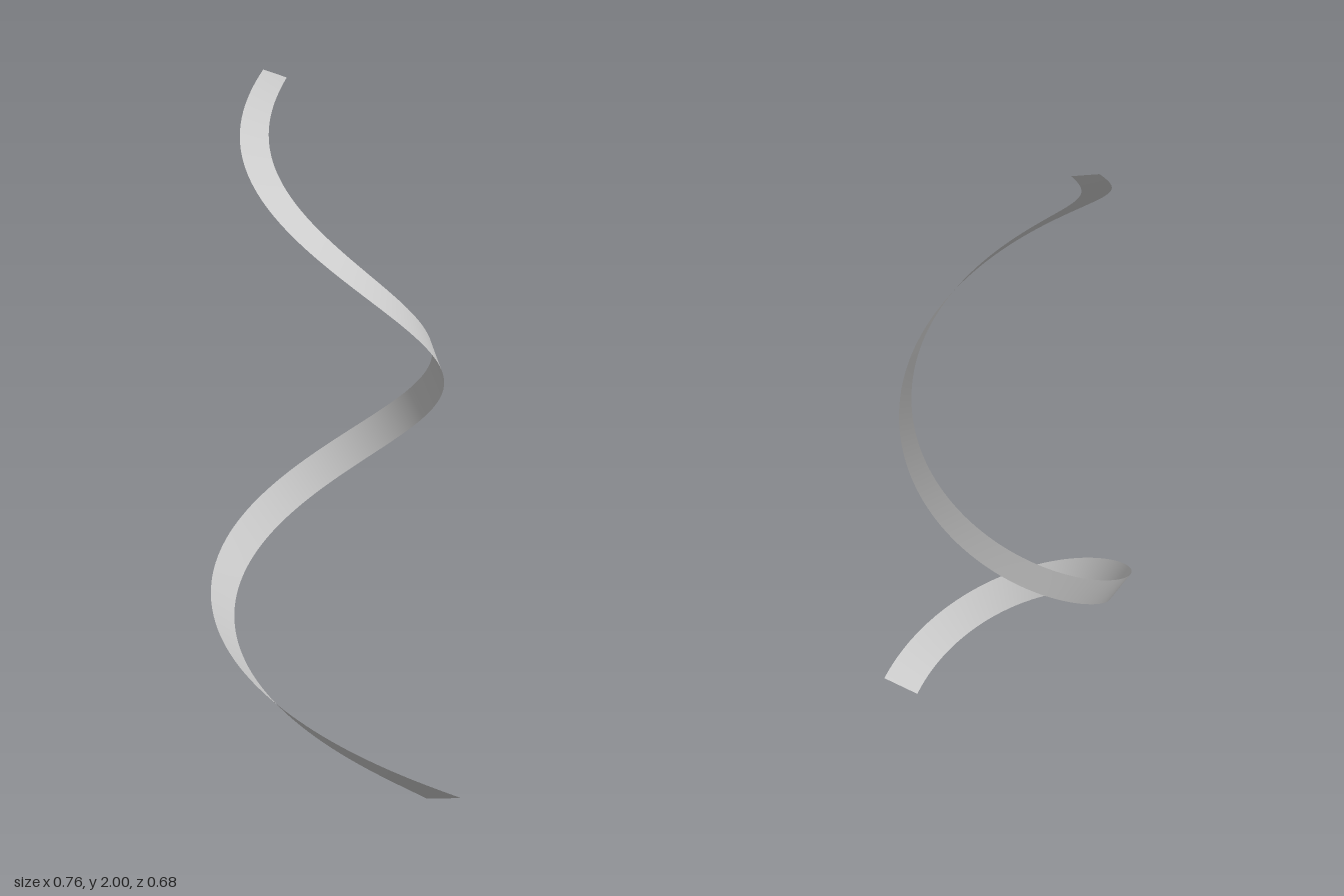
import * as THREE from 'three';

const SEGMENTS = 160;
const UP = new THREE.Vector3(0, 1, 0);
const lerp = THREE.MathUtils.lerp;

// Centre line: one and a half turns upward, narrowing linearly.
function spine(t) {
  const a = t * Math.PI * 3;
  const r = lerp(0.366, 0.2165, t);
  return new THREE.Vector3(-0.041 + r * Math.cos(a), lerp(0.011, 1.9916, t), -0.047 + r * Math.sin(a));
}

// Half-width vector: outward direction rolled around the path as it climbs.
function halfWidth(t) {
  const a = t * Math.PI * 3;
  const tangent = spine(t + 1e-4).sub(spine(t - 1e-4)).normalize();
  const out = new THREE.Vector3(Math.cos(a), 0, Math.sin(a));
  out.addScaledVector(tangent, -out.dot(tangent)).normalize();
  const rise = new THREE.Vector3().crossVectors(out, tangent).normalize();
  if (rise.dot(UP) < 0) rise.negate();
  const roll = THREE.MathUtils.degToRad(13 + 127 * t + 58 * t * t);
  return out.multiplyScalar(Math.cos(roll))
    .addScaledVector(rise, Math.sin(roll))
    .multiplyScalar(lerp(0.113, 0.075, t) / 2);
}

export function createModel() {
  const group = new THREE.Group();
  group.name = 'twistedRibbon';

  // Thin strip: a pair of edge points at every step along the spine.
  const positions = [];
  const index = [];
  for (let i = 0; i <= SEGMENTS; i++) {
    const t = i / SEGMENTS;
    const w = halfWidth(t);
    positions.push(...spine(t).sub(w).toArray(), ...spine(t).add(w).toArray());
    if (i < SEGMENTS) {
      const k = i * 2;
      index.push(k, k + 2, k + 1, k + 1, k + 2, k + 3);
    }
  }
  const geometry = new THREE.BufferGeometry();
  geometry.setAttribute('position', new THREE.Float32BufferAttribute(positions, 3));
  geometry.setIndex(index);
  geometry.computeVertexNormals();

  const ribbon = new THREE.Mesh(
    geometry,
    new THREE.MeshStandardMaterial({ color: 0xcccccc, side: THREE.DoubleSide })
  );
  ribbon.name = 'ribbon';
  group.add(ribbon);
  return group;
}
